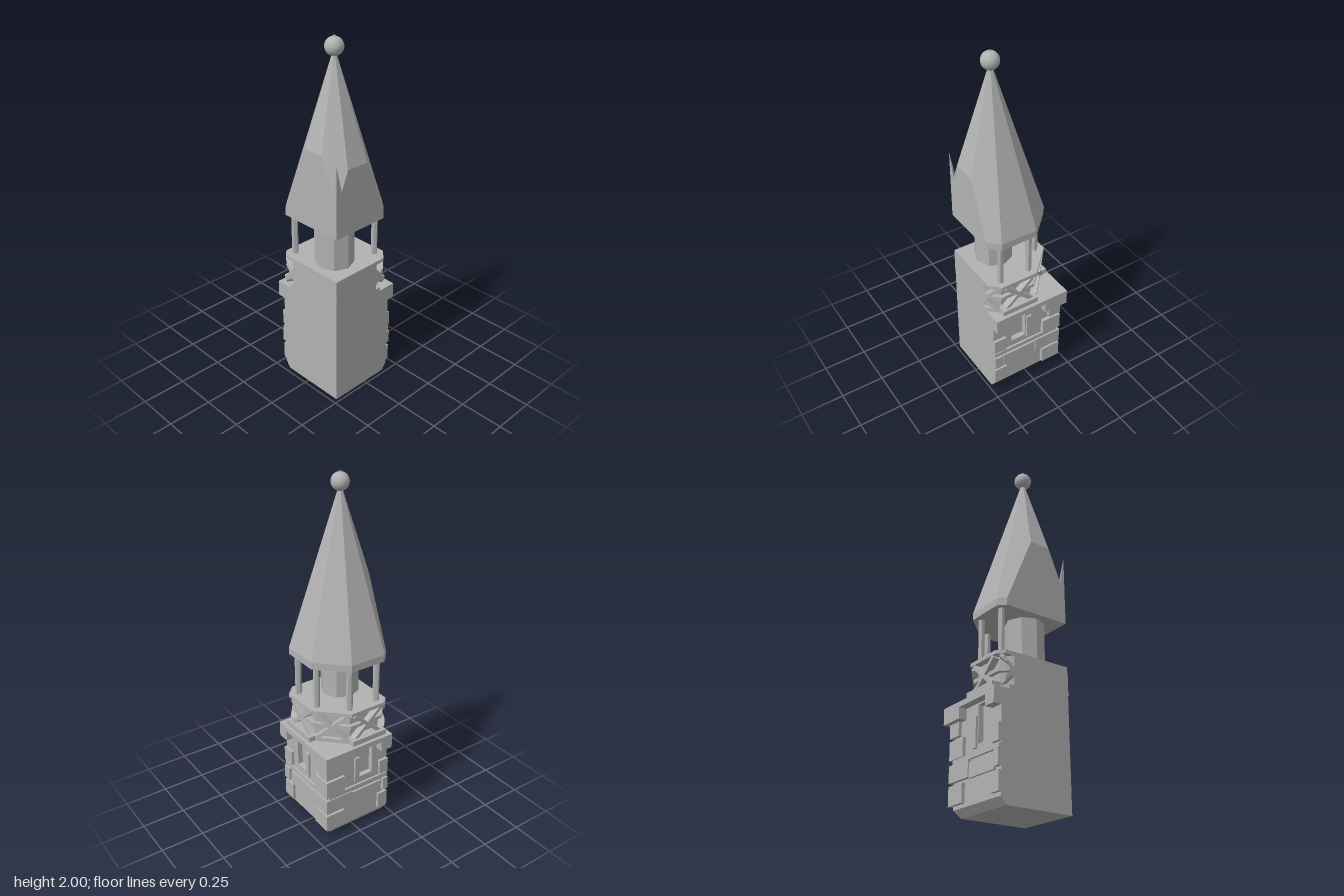
import * as THREE from 'three';
import { ConvexGeometry } from 'three/addons/geometries/ConvexGeometry.js';

const XMIN = -0.223, ZMAX = 0.231;      // flat sides where the turret meets its walls
const CX = -0.077, CZ = 0.065;          // turret axis
const CORNER_X = 0.18, CORNER_Z = -0.19; // outer corner of the stone base
const stone = new THREE.MeshStandardMaterial({ color: 0xb2b2b2 });
stone.name = 'grey stone';

// Convex solid from half-spaces [nx, ny, nz, d] with n.p <= d
function solid(planes) {
  const pts = [];
  const n = planes.map(p => new THREE.Vector3(p[0], p[1], p[2]));
  for (let i = 0; i < n.length; i++) for (let j = i + 1; j < n.length; j++) for (let k = j + 1; k < n.length; k++) {
    const jk = n[j].clone().cross(n[k]);
    const det = n[i].dot(jk);
    if (Math.abs(det) < 1e-6) continue;
    const p = jk.multiplyScalar(planes[i][3])
      .addScaledVector(n[k].clone().cross(n[i]), planes[j][3])
      .addScaledVector(n[i].clone().cross(n[j]), planes[k][3])
      .divideScalar(det);
    if (planes.some((q, m) => n[m].dot(p) > q[3] + 1e-6)) continue;
    if (!pts.some(q => q.distanceTo(p) < 1e-4)) pts.push(p);
  }
  return new ConvexGeometry(pts);
}

// Octagonal sides; slope is the apothem lost per unit of height above y0
function octagon(apothem, y0 = 0, slope = 0) {
  return Array.from({ length: 8 }, (_, i) => {
    const c = Math.cos(i * Math.PI / 4), s = Math.sin(i * Math.PI / 4);
    return [c, slope, s, apothem + c * CX + s * CZ + slope * y0];
  });
}
const cuts = [[-1, 0, 0, -XMIN], [0, 0, 1, ZMAX]];
const between = (y0, y1) => [[0, -1, 0, -y0], [0, 1, 0, y1]];

export function createModel() {
  const model = new THREE.Group();
  model.name = 'cornerTurret';
  const add = (name, geo, parent = model) => {
    const m = new THREE.Mesh(geo, stone);
    m.name = name;
    parent.add(m);
    return m;
  };
  const block = (name, x0, x1, y0, y1, z0, z1) => {
    const m = add(name, new THREE.BoxGeometry(x1 - x0, y1 - y0, z1 - z0));
    m.position.set((x0 + x1) / 2, (y0 + y1) / 2, (z0 + z1) / 2);
    return m;
  };

  // Base: inner core, bevelled foot and two outer walls with window openings
  block('baseCore', XMIN, 0.15, 0.04, 0.57, -0.16, ZMAX);
  add('bevelledFoot', solid([...cuts, ...between(0, 0.04),
    [0.04, -0.03, 0, 0.04 * 0.15], [0, -0.03, -0.04, 0.04 * 0.16]]));
  const wallGeo = length => {
    const s = new THREE.Shape();
    s.moveTo(0, 0.04).lineTo(length, 0.04).lineTo(length, 0.57).lineTo(0, 0.57).closePath();
    const h = new THREE.Path();
    h.moveTo(0.21, 0.33).lineTo(0.21, 0.53).lineTo(0.3, 0.53).lineTo(0.3, 0.33).closePath();
    s.holes.push(h);
    return new THREE.ExtrudeGeometry(s, { depth: 0.03, bevelEnabled: false });
  };
  const sideWall = add('sideWall', wallGeo(ZMAX - CORNER_Z));
  sideWall.rotation.y = -Math.PI / 2;
  sideWall.position.set(CORNER_X, 0, CORNER_Z);
  const backWall = add('backWall', wallGeo(CORNER_X - XMIN));
  backWall.rotation.y = Math.PI;
  backWall.position.set(CORNER_X, 0, CORNER_Z + 0.03);

  // Corner quoins wrapping both walls: [length, y0, y1]
  for (const [len, y0, y1] of [[0.1, 0.06, 0.16], [0.15, 0.175, 0.265], [0.1, 0.29, 0.39], [0.06, 0.405, 0.48]])
    block('quoin', CORNER_X - len, 0.202, y0, y1, -0.208, CORNER_Z + len);

  // Stones laid on each wall: [from corner, to, y0, y1, thickness]
  const stones = [
    [0, 0.4, 0.265, 0.29, 0.012],
    [0.15, 0.36, 0.17, 0.25, 0.012],
    [0.34, 0.4, 0.06, 0.16, 0.016],
    [0.37, 0.4, 0.18, 0.26, 0.02],
    [0.345, 0.4, 0.3, 0.39, 0.016],
    [0.175, 0.205, 0.31, 0.47, 0.012],
  ];
  for (const [u0, u1, y0, y1, d] of stones) {
    const far = u1 === 0.4;
    block('wallStone', 0.16, CORNER_X + d, y0, y1, CORNER_Z + u0, far ? ZMAX : CORNER_Z + u1);
    block('wallStone', far ? XMIN : CORNER_X - u1, CORNER_X - u0, y0, y1, CORNER_Z - d, -0.17);
  }

  // Overhanging ledge, deeper at the corner and the far ends
  block('ledge', XMIN, 0.222, 0.54, 0.57, -0.235, ZMAX);
  block('ledgeCorner', 0.08, 0.222, 0.48, 0.54, -0.235, -0.09);
  block('ledgeEnd', 0.15, 0.222, 0.48, 0.54, 0.16, ZMAX);
  block('ledgeEnd', XMIN, -0.15, 0.48, 0.54, -0.235, -0.16);

  // Balcony drum and its octagonal rims
  const ring = (name, a, y0, y1) => add(name, solid([...octagon(a), ...cuts, ...between(y0, y1)]));
  ring('balconyDrum', 0.228, 0.57, 0.755);
  ring('balconyFootRim', 0.25, 0.57, 0.592);
  ring('balconyMiddleRim', 0.25, 0.662, 0.682);
  ring('balconyFloor', 0.266, 0.75, 0.77);
  block('footSill', 0.15, 0.206, 0.575, 0.605, -0.048, 0.177);
  block('footSill', -0.189, 0.035, 0.575, 0.605, -0.221, -0.16);

  // Crossed braces on the faces; ends are pressed flat against the cut sides
  const half = 0.085;
  for (const face of [-3, -2, -1, 0, 1, 3]) {
    for (const dir of [-1, 1]) {
      const g = new THREE.BoxGeometry(0.042, 0.02, Math.hypot(2 * half, 0.15), 1, 1, 10);
      g.rotateX(dir * Math.atan2(0.15, 2 * half));
      g.translate(0.245, 0.67, 0);
      g.rotateY(-face * Math.PI / 4);
      g.translate(CX, 0, CZ);
      const p = g.attributes.position;
      for (let i = 0; i < p.count; i++) {
        p.setX(i, Math.max(p.getX(i), XMIN - 0.001));
        p.setZ(i, Math.min(p.getZ(i), ZMAX + 0.001));
      }
      const flat = g.toNonIndexed();
      flat.computeVertexNormals();
      add('crossBrace', flat);
    }
  }

  // Inner shaft, with corners on the axes, and slim posts
  const shaft = add('shaft', new THREE.CylinderGeometry(0.107, 0.107, 0.27, 8).toNonIndexed());
  shaft.geometry.computeVertexNormals();
  shaft.position.set(CX, 0.895, CZ);
  for (let i = 0; i < 4; i++) {
    const a = (-2.5 + i) * Math.PI / 4;
    const g = new THREE.CylinderGeometry(0.018, 0.018, 0.27, 6).toNonIndexed();
    g.computeVertexNormals();
    add('post', g).position.set(CX + 0.233 * Math.cos(a), 0.895, CZ + 0.233 * Math.sin(a));
  }

  // Spire with a short vertical eave
  const apex = 1.95, eave = 1.06;
  ring('spireEave', 0.259, 1.02, eave);
  add('spire', solid([...octagon(0.259, eave, 0.259 / (apex - eave)), ...cuts, [0, -1, 0, -eave]]));

  // Pointed shard in the corner between the two cut sides
  const x = XMIN, z = ZMAX;
  add('cornerShard', new ConvexGeometry([
    [x, 1.1, z], [x, 1.42, z], [-0.188, 1.28, z], [-0.202, 1.28, 0.212], [x, 1.28, 0.205],
    [-0.19, 1.1, z], [x, 1.1, 0.205],
  ].map(p => new THREE.Vector3(...p))));

  // Finial
  add('finialBall', new THREE.SphereGeometry(0.048, 32, 20)).position.set(CX, 1.949, CZ);
  add('finialTip', new THREE.CylinderGeometry(0.008, 0.008, 0.02, 12)).position.set(CX, 1.99, CZ);
  return model;
}
